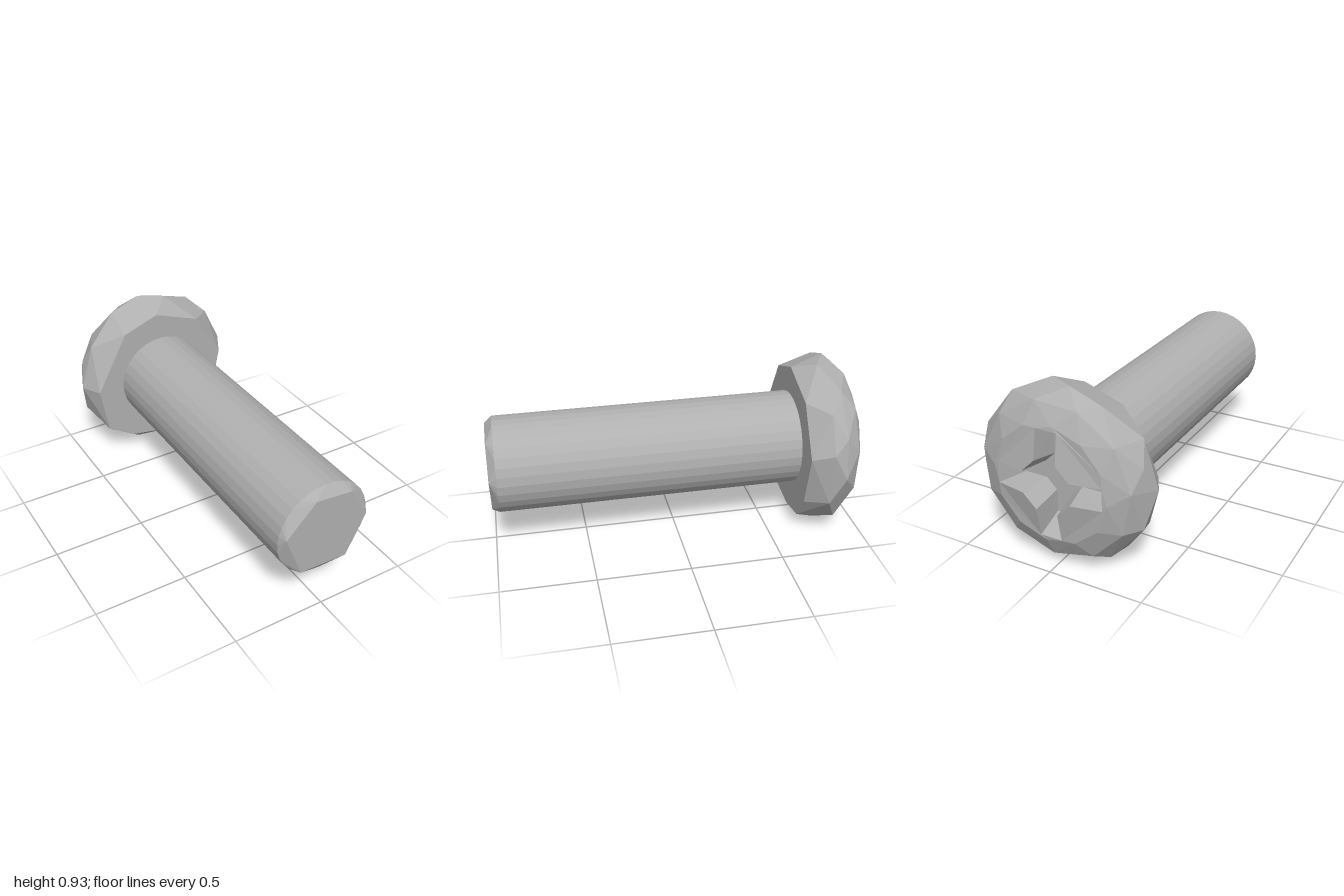
import * as THREE from 'three';
import { ConvexGeometry } from 'three/addons/geometries/ConvexGeometry.js';

const CY = 0.465; // height of the screw's axis

const ring = (n, r, z, turn = 0) => Array.from({ length: n }, (_, i) => {
  const a = turn + (i / n) * Math.PI * 2;
  return new THREE.Vector3(r * Math.cos(a), r * Math.sin(a), z);
});

// Points given as [x, height] pairs, placed around the axis
const placed = (pairs, z) => pairs.map(([x, y], i) => new THREE.Vector3(x, y - CY, z(i)));

function facets(positions) {
  const g = new THREE.BufferGeometry();
  g.setAttribute('position', new THREE.Float32BufferAttribute(positions, 3));
  g.computeVertexNormals();
  return g;
}

// Faceted hull, leaving out triangles that lie wholly in an open end
function openHull(points, inOpenEnd) {
  const p = new ConvexGeometry(points).attributes.position;
  const out = [];
  for (let i = 0; i < p.count; i += 3) {
    const tri = [0, 1, 2].map(k => new THREE.Vector3().fromBufferAttribute(p, i + k));
    if (!tri.every(inOpenEnd)) tri.forEach(v => out.push(v.x, v.y, v.z));
  }
  return facets(out);
}

// Flat shape turned to face -z, with its depth set by a rule on the radius
function backFace(outline, hole, depth) {
  const shape = new THREE.Shape(outline);
  if (hole) shape.holes.push(new THREE.Path(hole));
  const g = new THREE.ShapeGeometry(shape).toNonIndexed();
  const p = g.attributes.position;
  const out = [];
  for (let i = 0; i < p.count; i += 3) {
    for (const k of [0, 2, 1]) {
      const x = p.getX(i + k), y = p.getY(i + k);
      out.push(x, y, depth(Math.hypot(x, y)));
    }
  }
  return facets(out);
}

// Cross outline: arm length, half width, and start of the corner chamfer
function cross(length, w, c) {
  const arm = [[length, -w], [length, w], [c, w], [w, c]];
  const pts = [];
  for (let q = 0; q < 4; q++) {
    for (const [x, y] of arm) {
      pts.push(new THREE.Vector2(x, y).rotateAround(new THREE.Vector2(), q * Math.PI / 2));
    }
  }
  return pts;
}

export function createModel() {
  const steel = new THREE.MeshStandardMaterial({ color: 0xb0b0b0 });
  steel.name = 'steel grey';
  const group = new THREE.Group();
  group.name = 'screw';
  const add = (name, geometry) => {
    const mesh = new THREE.Mesh(geometry, steel);
    mesh.name = name;
    mesh.position.y = CY;
    group.add(mesh);
    return mesh;
  };

  // Head: uneven facets from underside, widest belt and shoulder to crown edge
  const underside = placed([[-0.02, 0.875], [-0.225, 0.80], [-0.41, 0.465], [-0.365, 0.2],
    [-0.205, 0.105], [0.065, 0.06], [0.24, 0.09], [0.335, 0.23], [0.4, 0.52], [0.245, 0.78]],
  () => -0.66);
  const belt = placed([[-0.05, 0.93], [0.085, 0.925], [0.27, 0.845], [0.365, 0.755],
    [0.43, 0.64], [0.455, 0.56], [0.465, 0.42], [0.425, 0.26], [0.325, 0.115], [0.185, 0.03],
    [0.03, 0], [-0.13, 0.005], [-0.25, 0.07], [-0.305, 0.11], [-0.43, 0.28], [-0.47, 0.465],
    [-0.43, 0.6], [-0.395, 0.715], [-0.22, 0.865]],
  i => (i % 2 ? -0.77 : -0.84));
  const shoulder = ring(11, 0.41, -0.92, 0.2);
  const crownEdge = ring(12, 0.31, -0.967, 0.1);
  add('head', openHull([...underside, ...belt, ...shoulder, ...crownEdge], v => v.z < -0.96));

  // Crown of the head with the cross opening
  const dome = r => (r < 0.13 ? -1 : -1 + (r - 0.13) * 0.033 / 0.18);
  const mouth = cross(0.285, 0.058, 0.13);
  add('crown', backFace(crownEdge.map(v => new THREE.Vector2(v.x, v.y)), mouth, dome));

  // Tapering cross recess: walls and floor
  const floorZ = -0.84;
  const floor = cross(0.22, 0.045, 0.1);
  const walls = [];
  mouth.forEach((a, i) => {
    const j = (i + 1) % mouth.length;
    const top = k => [mouth[k].x, mouth[k].y, dome(mouth[k].length())];
    const low = k => [floor[k].x, floor[k].y, floorZ];
    walls.push(...top(i), ...low(i), ...low(j), ...top(i), ...low(j), ...top(j));
  });
  add('recessWalls', facets(walls));
  add('recessFloor', backFace(floor, null, () => floorZ));

  // Shaft and its chamfered tip ending in a six-sided face
  const sides = 32, radius = 0.257, tipZ = 0.96;
  const shaft = new THREE.CylinderGeometry(radius, radius, tipZ + 0.66, sides, 1, true)
    .rotateX(Math.PI / 2).toNonIndexed();
  shaft.computeVertexNormals();
  add('shaft', shaft).position.z = (tipZ - 0.66) / 2;
  const endFace = placed([[-0.075, 0.675], [0.125, 0.655], [0.23, 0.48], [0.125, 0.26],
    [-0.14, 0.27], [-0.235, 0.51]], () => 1);
  add('tip', openHull([...ring(sides, radius, tipZ), ...endFace], v => v.z < tipZ + 0.01));

  return group;
}
